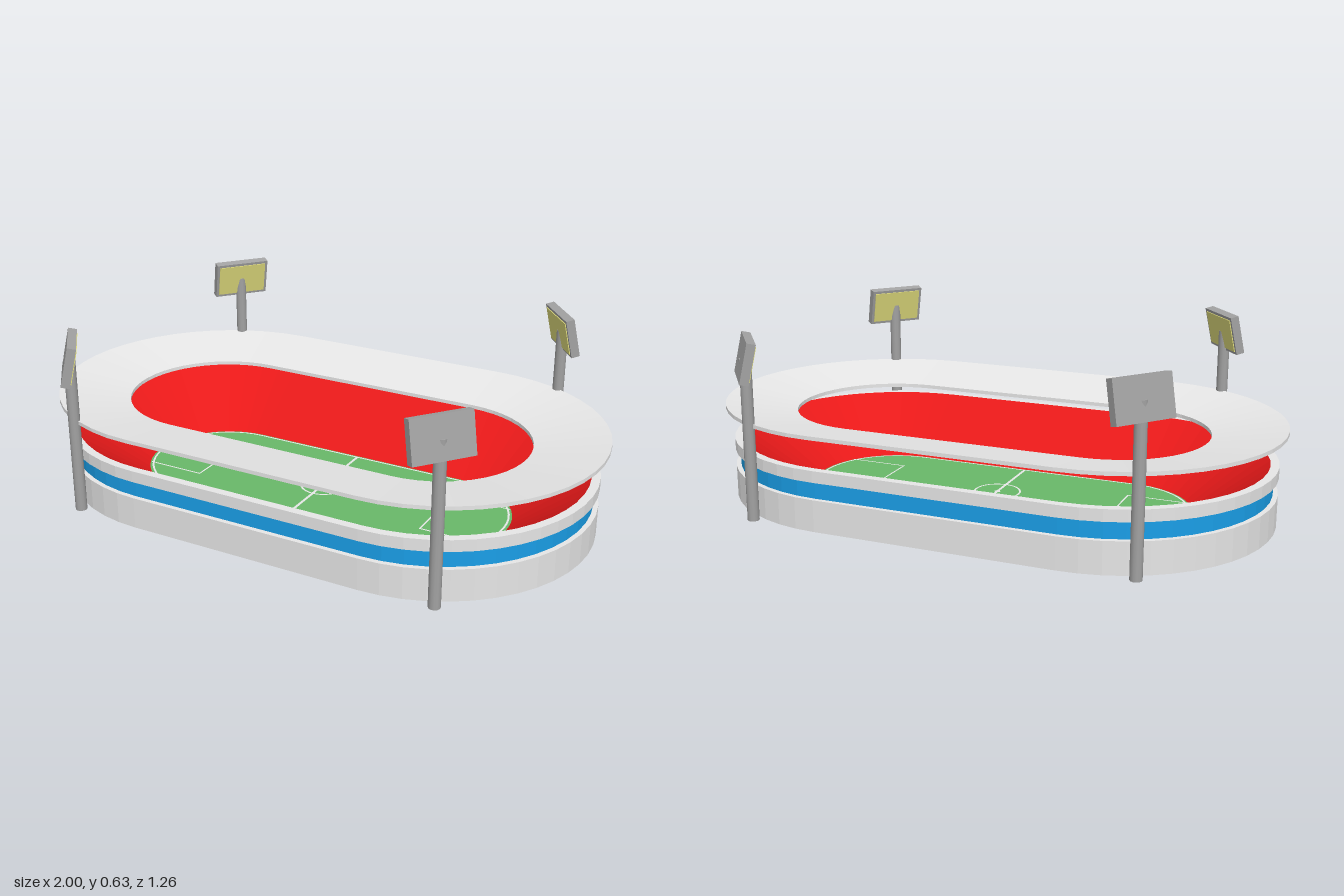
import * as THREE from 'three';

const HALF = 0.42;      // half length of the straight sides
const ARC = 24;         // facets per rounded end
const FIELD_Y = 0.02;

const mat = (name, color) => {
  const m = new THREE.MeshStandardMaterial({ color });
  m.name = name;
  return m;
};

// Sweeps a profile of [radius, y] points around a straight-sided oval.
function ovalSweep(profile) {
  const path = [];
  for (const side of [1, -1]) {
    for (let i = 0; i <= ARC; i++) {
      const a = (i / ARC - 0.5) * Math.PI + (side < 0 ? Math.PI : 0);
      path.push([side * HALF, Math.cos(a), Math.sin(a)]);
    }
  }
  const point = (p, [r, y]) => new THREE.Vector3(p[0] + r * p[1], y, r * p[2]);
  const pos = [];
  const tri = (a, b, c) => {
    const area = b.clone().sub(a).cross(c.clone().sub(a)).length();
    if (area > 1e-9) for (const v of [a, b, c]) pos.push(v.x, v.y, v.z);
  };
  path.forEach((p, i) => {
    const q = path[(i + 1) % path.length];
    for (let j = 0; j < profile.length - 1; j++) {
      const a = point(p, profile[j]), b = point(p, profile[j + 1]);
      const c = point(q, profile[j]), d = point(q, profile[j + 1]);
      tri(a, b, c);
      tri(b, d, c);
    }
  });
  const g = new THREE.BufferGeometry();
  g.setAttribute('position', new THREE.Float32BufferAttribute(pos, 3));
  g.computeVertexNormals();
  return g;
}

export function createModel() {
  const concrete = mat('concrete', 0xe6e6e6);
  const roofWhite = mat('roof', 0xe8e8e8);
  const blue = mat('blue band', 0x1a9fe8);
  const red = mat('red seating', 0xee1a1a);
  const green = mat('grass', 0x69b869);
  const white = mat('line paint', 0xffffff);
  const steel = mat('steel', 0xa2a2a2);
  const lamp = mat('lamp', 0xe2de7e);

  const model = new THREE.Group();
  model.name = 'stadium';
  const add = (parent, name, geometry, material, x = 0, y = 0, z = 0) => {
    const m = new THREE.Mesh(geometry, material);
    m.name = name;
    m.position.set(x, y, z);
    parent.add(m);
    return m;
  };

  // Bowl: lower wall, recessed band, upper rim, sloping seats, grass
  add(model, 'lowerWall', ovalSweep([[0, 0], [0.554, 0], [0.554, 0.11], [0.53, 0.11]]), concrete);
  add(model, 'blueBand', ovalSweep([[0.537, 0.11], [0.537, 0.17]]), blue);
  add(model, 'upperRim', ovalSweep([[0.53, 0.17], [0.554, 0.17], [0.554, 0.21], [0.525, 0.21]]), concrete);
  add(model, 'seating', ovalSweep([[0.525, 0.21], [0.275, FIELD_Y]]), red);
  add(model, 'field', ovalSweep([[0.278, FIELD_Y], [0, FIELD_Y]]), green);

  // Floating roof ring, sloping down towards the opening
  add(model, 'roof', ovalSweep([
    [0.33, 0.28], [0.58, 0.322], [0.58, 0.335], [0.33, 0.293], [0.33, 0.28],
  ]), roofWhite);

  // Field markings, painted flat on the grass
  const lines = new THREE.Group();
  lines.name = 'fieldMarkings';
  model.add(lines);
  const Y = FIELD_Y + 0.002, W = 0.006;
  const paint = (name, geometry, x = 0, z = 0) =>
    add(lines, name, geometry.rotateX(-Math.PI / 2), white, x, Y, z);
  const stripe = (name, w, d, x, z) => paint(name, new THREE.PlaneGeometry(w, d), x, z);
  add(lines, 'boundaryLine', ovalSweep([[0.267, Y], [0.26, Y]]), white);
  stripe('halfwayLine', 0.01, 0.53, 0, 0);
  paint('centreCircle', new THREE.RingGeometry(0.077, 0.084, 32));
  paint('centreSpot', new THREE.CircleGeometry(0.011, 12));
  for (const s of [1, -1]) {
    stripe('boxFront', W, 0.28, s * 0.44, 0);
    for (const t of [1, -1]) stripe('boxSide', 0.215, W, s * 0.547, t * 0.137);
  }

  // Four corner floodlights, panels leaning in towards the field
  for (const sx of [1, -1]) {
    for (const sz of [1, -1]) {
      const tower = new THREE.Group();
      tower.name = 'floodlight';
      tower.position.set(sx * 0.668, 0, sz * 0.53);
      tower.rotation.y = Math.atan2(-sx * 0.668, -sz * 0.53);
      model.add(tower);
      add(tower, 'pole', new THREE.CylinderGeometry(0.02, 0.02, 0.556, 12), steel, 0, 0.278, 0);
      const head = new THREE.Group();
      head.name = 'lampHead';
      head.position.y = 0.557;
      head.rotation.x = 0.22;
      tower.add(head);
      add(head, 'panel', new THREE.BoxGeometry(0.208, 0.137, 0.03), steel);
      add(head, 'lampFace', new THREE.BoxGeometry(0.188, 0.117, 0.004), lamp, 0, 0, 0.016);
    }
  }
  return model;
}
